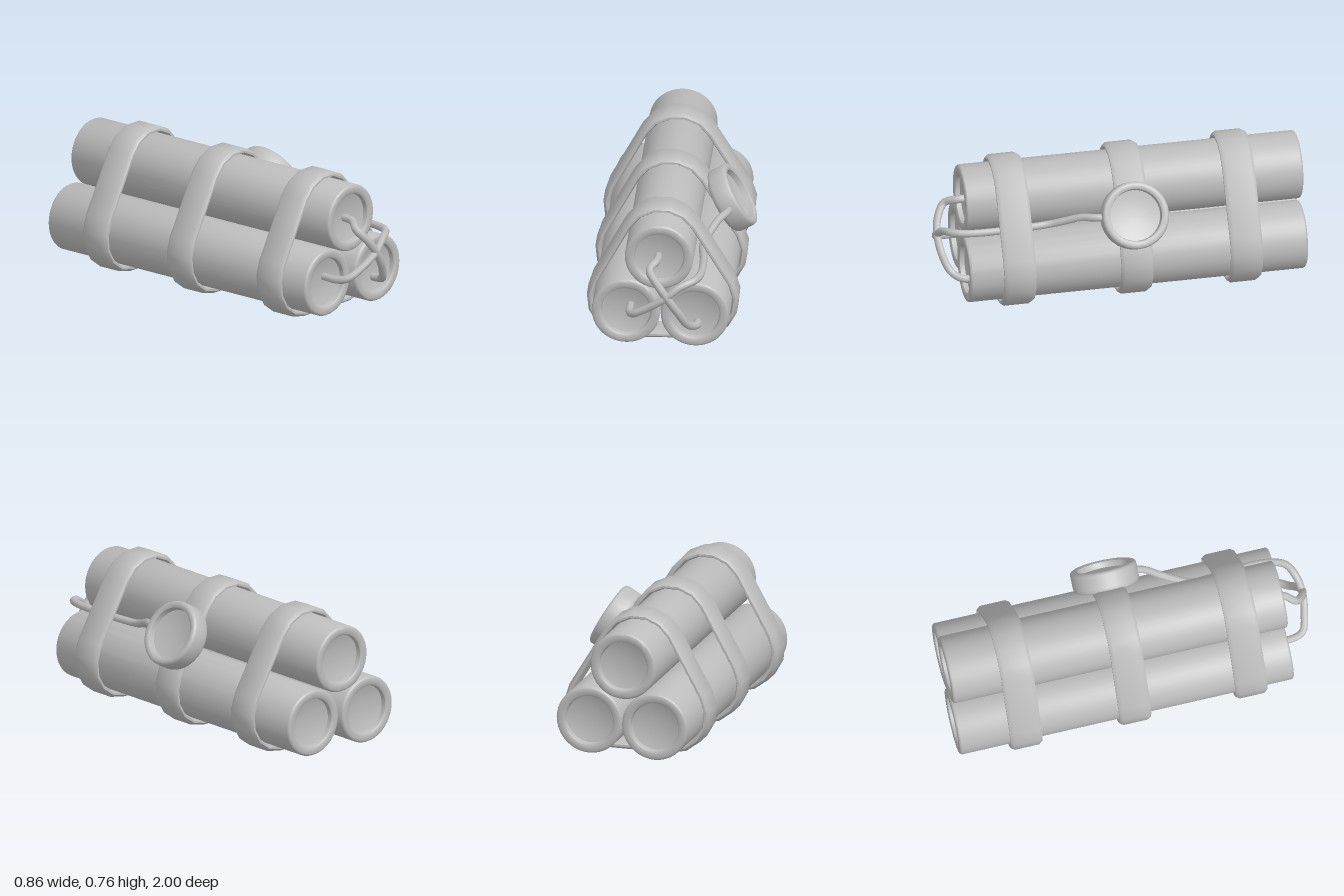
import * as THREE from 'three';
import { toCreasedNormals } from 'three/addons/utils/BufferGeometryUtils.js';

const R = 0.183;
// Centres of the three tubes with their back and front ends
const TUBES = [
  { name: 'topTube', x: -0.03, y: 0.545, back: -0.995, front: 0.845 },
  { name: 'rightTube', x: -0.208, y: 0.223, back: -1.0, front: 0.835 },
  { name: 'leftTube', x: 0.163, y: 0.226, back: -0.98, front: 0.862 },
];

// Revolved profile, given as [radius, height] pairs from bottom to top
function lathe(points, segments) {
  const g = new THREE.LatheGeometry(points.map(([r, h]) => new THREE.Vector2(r, h)), segments);
  return toCreasedNormals(g, 0.75);
}

// Rounded rim followed by a shallow dish, from the outside inwards
const rim = (r, inner) => [
  [r, -0.012], [r - 0.004, -0.004], [r - 0.012, 0],
  [inner + 0.008, 0], [inner, -0.006], [inner - 0.004, -0.03],
  [inner * 0.7, -0.042], [inner * 0.35, -0.049], [0, -0.051],
];

function tubeGeometry(back, front) {
  const ends = rim(R, 0.134);
  const lower = ends.map(([r, h]) => [r, back - h]).reverse();
  const upper = ends.map(([r, h]) => [r, front + h]);
  return lathe([...lower, ...upper], 40).rotateX(Math.PI / 2);
}

// Strap: a bevelled section swept round the outline of all three tubes
function strapGeometry() {
  const ri = 0.188, ro = 0.222, w = 0.087, b = 0.02;
  const section = [
    [ri, -w + b], [ri + 0.009, -w], [ro - 0.014, -w], [ro, -w + b],
    [ro, w - b], [ro - 0.014, w], [ri + 0.009, w], [ri, w - b],
  ];
  const steps = 5, pos = [], index = [];
  TUBES.forEach((t, k) => {
    for (let i = 0; i <= steps; i++) {
      const a = Math.PI / 6 + (k + i / steps) * Math.PI * 2 / 3;
      for (const [r, z] of section) pos.push(t.x + r * Math.cos(a), t.y + r * Math.sin(a), z);
    }
  });
  const n = section.length, rings = pos.length / 3 / n;
  for (let i = 0; i < rings; i++) {
    for (let j = 0; j < n; j++) {
      const i2 = (i + 1) % rings, j2 = (j + 1) % n;
      const a = i * n + j, b2 = i2 * n + j, c = i2 * n + j2, d = i * n + j2;
      index.push(a, b2, c, a, c, d);
    }
  }
  const g = new THREE.BufferGeometry();
  g.setAttribute('position', new THREE.Float32BufferAttribute(pos, 3));
  g.setIndex(index);
  return toCreasedNormals(g, 0.9);
}

function wireGeometry(points, radius, segments) {
  const curve = new THREE.CatmullRomCurve3(points.map((p) => new THREE.Vector3(...p)), false, 'centripetal');
  return new THREE.TubeGeometry(curve, segments, radius, 8);
}

export function createModel() {
  const model = new THREE.Group();
  const grey = new THREE.MeshStandardMaterial({ color: 0xbcbcbc });
  grey.name = 'plain grey';
  const add = (name, geometry) => {
    const mesh = new THREE.Mesh(geometry, grey);
    mesh.name = name;
    model.add(mesh);
    return mesh;
  };

  // Three stacked tubes with dished ends
  for (const t of TUBES) add(t.name, tubeGeometry(t.back, t.front)).position.set(t.x, t.y, 0);

  // Three straps
  const strap = strapGeometry();
  [['frontStrap', 0.595], ['middleStrap', -0.043], ['backStrap', -0.64]].forEach(([name, z]) => {
    add(name, strap).position.z = z;
  });

  // Round dial resting on the sloping side of the middle strap
  const dial = add('dial', lathe([
    [0, -0.01], [0.165, -0.01], [0.176, 0], [0.181, 0.015], [0.181, 0.09],
    [0.176, 0.101], [0.166, 0.106], [0.15, 0.106], [0.141, 0.1],
    [0.136, 0.07], [0.09, 0.06], [0.04, 0.055], [0, 0.054],
  ], 32));
  dial.position.set(0.256, 0.494, -0.04);
  dial.rotation.z = -Math.PI / 3;

  // Wire joining the top tube to the lower left tube
  add('shortWire', wireGeometry([
    [-0.035, 0.54, 0.8], [-0.04, 0.535, 0.86], [-0.075, 0.505, 0.92], [-0.03, 0.44, 0.965],
    [0.02, 0.37, 0.978], [0.08, 0.28, 0.965], [0.13, 0.195, 0.925], [0.17, 0.168, 0.87], [0.175, 0.165, 0.81],
  ], 0.022, 36));

  // Wire from the lower right tube, past the junction and along the side to the dial
  add('longWire', wireGeometry([
    [-0.185, 0.243, 0.78], [-0.185, 0.243, 0.88], [-0.165, 0.255, 0.935], [-0.08, 0.305, 0.965],
    [0.01, 0.365, 0.977], [0.09, 0.425, 0.96], [0.16, 0.447, 0.92], [0.19, 0.45, 0.84],
    [0.195, 0.45, 0.65], [0.178, 0.45, 0.41], [0.205, 0.475, 0.33],
    [0.245, 0.51, 0.24], [0.285, 0.522, 0.17], [0.3, 0.522, 0.1],
  ], 0.021, 64));

  return model;
}
